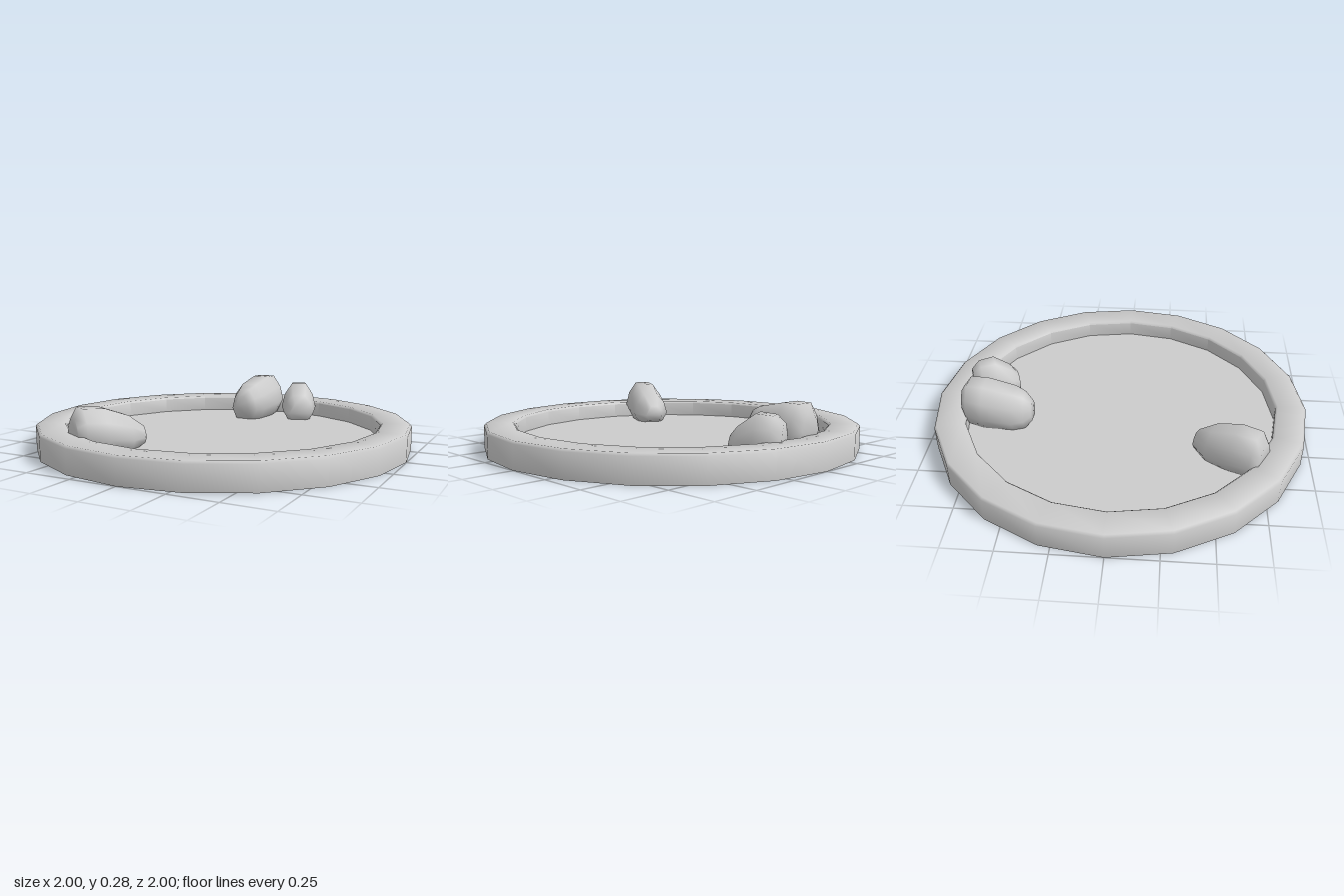
import * as THREE from 'three';
import { toCreasedNormals } from 'three/addons/utils/BufferGeometryUtils.js';

const SIDES = 20;
const FLOOR_Y = 0.045;

// Half-rounded stone outline: [across, up], from one flank over the top to the other
const STONE_RING = [
  [-1, 0.35], [-0.82, 0.7], [-0.4, 1], [0.4, 1],
  [0.82, 0.7], [1, 0.35], [0.65, 0], [-0.65, 0],
];

// Lofts a stone from a to b ([x, z]); each section is [t, half width, bottom y, top y]
function stoneGeometry(a, b, sections) {
  const dx = b[0] - a[0], dz = b[1] - a[1], len = Math.hypot(dx, dz);
  const sx = dz / len, sz = -dx / len;
  const n = STONE_RING.length;
  const pos = [], idx = [];
  for (const [t, hw, lo, hi] of sections) {
    for (const [u, v] of STONE_RING) {
      pos.push(a[0] + dx * t + sx * u * hw, lo + (hi - lo) * v, a[1] + dz * t + sz * u * hw);
    }
  }
  for (let i = 0; i < sections.length - 1; i++) {
    for (let j = 0; j < n; j++) {
      const p = i * n + j, q = i * n + (j + 1) % n;
      idx.push(p, p + n, q, q, p + n, q + n);
    }
  }
  const last = (sections.length - 1) * n;
  for (let j = 1; j < n - 1; j++) {
    idx.push(0, j, j + 1, last, last + j + 1, last + j);
  }
  const geo = new THREE.BufferGeometry();
  geo.setAttribute('position', new THREE.Float32BufferAttribute(pos, 3));
  geo.setIndex(idx);
  geo.computeVertexNormals();
  return geo;
}

export function createModel() {
  const group = new THREE.Group();
  group.name = 'stoneDish';
  const stoneMaterial = new THREE.MeshStandardMaterial({ color: 0xcccccc });
  const dishMaterial = new THREE.MeshStandardMaterial({ color: 0xcccccc, side: THREE.DoubleSide });

  const add = (name, geometry, material) => {
    const mesh = new THREE.Mesh(geometry, material);
    mesh.name = name;
    group.add(mesh);
    return mesh;
  };

  // Rim: an open-bottomed channel with softened top edges
  const profile = [
    [1, 0], [1, 0.123], [0.988, 0.135], [0.85, 0.135], [0.838, 0.124], [0.838, FLOOR_Y],
  ].map(([r, y]) => new THREE.Vector2(r, y));
  add('rim', toCreasedNormals(new THREE.LatheGeometry(profile, SIDES), 0.85), dishMaterial);

  // Thin floor disc
  const floor = new THREE.CircleGeometry(0.838, SIDES);
  floor.rotateX(-Math.PI / 2);
  add('floor', floor, dishMaterial).position.y = FLOOR_Y;

  // Stones resting inside the rim, dipping just through the floor
  add('frontStone', stoneGeometry([-0.435, 0.74], [-0.255, 0.415], [
    [0, 0.068, 0.09, 0.215],
    [0.1, 0.105, 0.05, 0.265],
    [0.4, 0.115, 0.03, 0.258],
    [0.75, 0.105, 0.03, 0.21],
    [1, 0.05, 0.06, 0.145],
  ]), stoneMaterial);

  add('largeBackStone', stoneGeometry([-0.095, -0.84], [-0.12, -0.465], [
    [0, 0.06, 0.11, 0.235],
    [0.1, 0.115, 0.06, 0.283],
    [0.33, 0.127, 0.04, 0.284],
    [0.75, 0.115, 0.03, 0.25],
    [0.9, 0.085, 0.04, 0.225],
    [1, 0.045, 0.08, 0.185],
  ]), stoneMaterial);

  add('smallBackStone', stoneGeometry([0.105, -0.84], [0.2, -0.605], [
    [0, 0.055, 0.09, 0.21],
    [0.18, 0.093, 0.05, 0.248],
    [0.5, 0.105, 0.03, 0.255],
    [0.85, 0.09, 0.03, 0.19],
    [1, 0.055, 0.05, 0.145],
  ]), stoneMaterial);

  return group;
}
